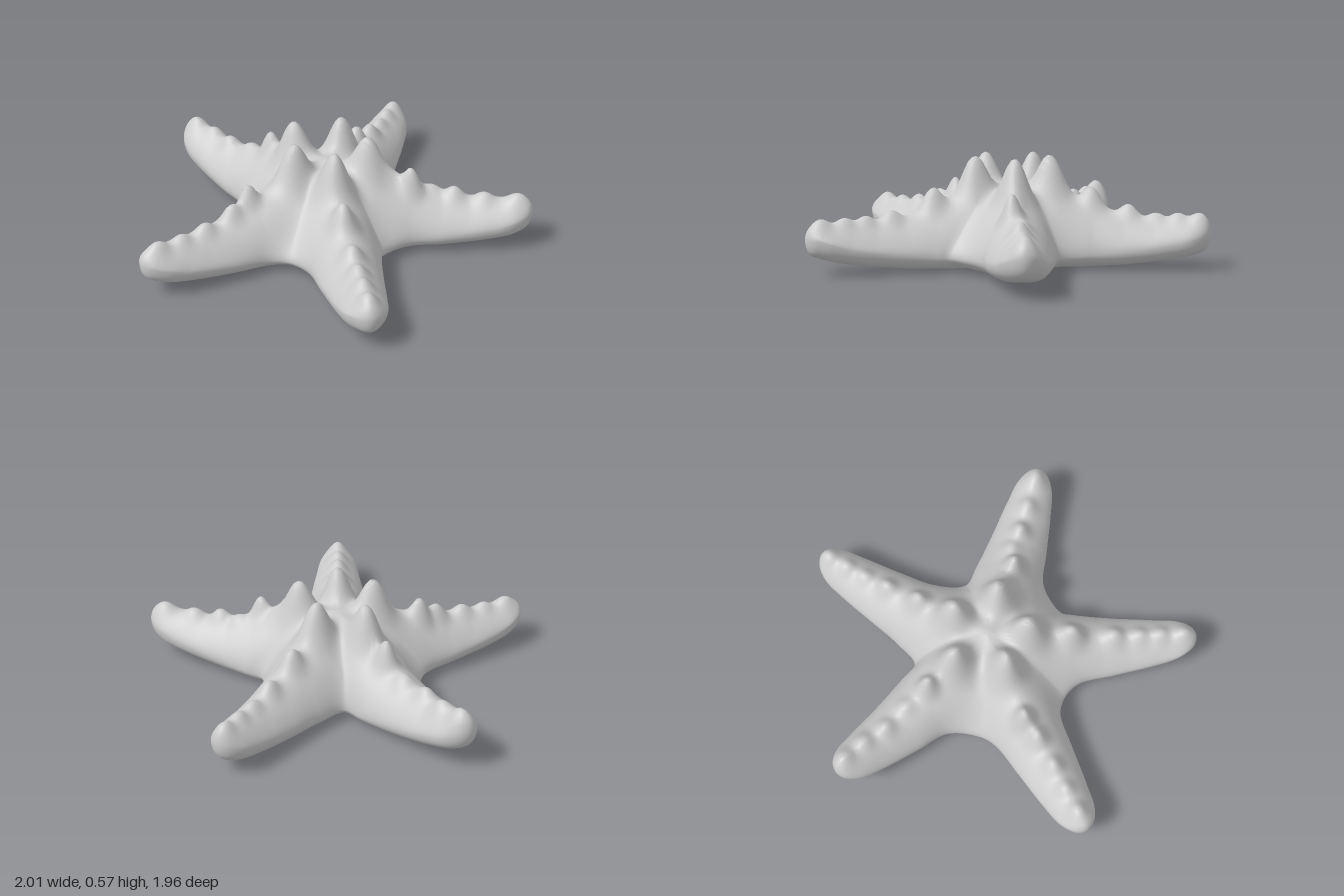
import * as THREE from 'three';
import { mergeVertices } from 'three/addons/utils/BufferGeometryUtils.js';

const CENTRE = new THREE.Vector2(-0.03, 0.05); // x, z of the middle of the disc

// Each arm: tip, the notch before it, extra lift at the tip, and knobs as
// [distance along arm, sideways offset, height, radius]
const ARMS = [
  { tip: [-0.02, -0.98], notch: [-0.27, -0.255], lift: 0.01,
    knobs: [[0.2, 0, 0.165, 0.078], [0.42, 0, 0.085, 0.055], [0.61, 0, 0.055, 0.05], [0.75, 0, 0.03, 0.045], [0.86, 0, 0.03, 0.045], [0.97, 0, 0.03, 0.05]] },
  { tip: [1, -0.215], notch: [0.25, -0.245], lift: 0.01,
    knobs: [[0.215, 0, 0.165, 0.078], [0.34, 0.01, 0.03, 0.05], [0.44, 0.03, 0.11, 0.048], [0.55, -0.02, 0.025, 0.045], [0.66, 0, 0.05, 0.048], [0.81, 0, 0.035, 0.05], [0.98, 0, 0.035, 0.055]] },
  { tip: [0.57, 0.972], notch: [0.37, 0.28], lift: 0,
    knobs: [[0.21, 0, 0.165, 0.078], [0.44, 0, 0.1, 0.06], [0.66, 0, 0.05, 0.055], [0.79, 0, 0.04, 0.05], [0.9, 0, 0.035, 0.05], [1.02, 0, 0.035, 0.05]] },
  { tip: [-0.625, 0.962], notch: [-0.035, 0.522], lift: 0,
    knobs: [[0.2, 0, 0.165, 0.078], [0.46, 0.03, 0.11, 0.05], [0.57, 0.01, 0.065, 0.05], [0.73, 0, 0.045, 0.05], [0.86, 0, 0.03, 0.045], [0.99, 0, 0.035, 0.05]] },
  { tip: [-1, -0.275], notch: [-0.44, 0.25], lift: 0.05,
    knobs: [[0.225, 0, 0.165, 0.078], [0.4, 0.01, 0.11, 0.05], [0.55, 0.02, 0.03, 0.05], [0.69, 0, 0.04, 0.048], [0.82, 0.02, 0.035, 0.05], [0.95, 0.02, 0.035, 0.055]] },
];

// Half width of an arm along its length, from root to tip
const WIDTHS = [[0.43, 0.19], [0.6, 0.158], [0.8, 0.125], [0.92, 0.096], [0.982, 0.05]];
// Matching stations on the spine, from the centre to just short of the tip
const SPINE = [0, 0.34, 0.58, 0.76, 0.87, 0.905, 0.915];

// Heights by distance from the centre
const CREST = [[-1, -0.6], [0, 0.395], [0.15, 0.41], [0.25, 0.39], [0.35, 0.345], [0.45, 0.305], [0.6, 0.265], [0.75, 0.245], [1, 0.245]];
const RIM = [[0, 0.07], [0.45, 0.075], [0.7, 0.1], [0.9, 0.13], [1.05, 0.18]];
const BELLY = [[0, 0], [0.4, 0.004], [0.6, 0.016], [0.8, 0.038], [0.95, 0.062], [1.05, 0.09]];

// Linear interpolation through [position, value] pairs
function sample(table, x) {
  for (let i = 1; i < table.length; i++) {
    if (x < table[i][0]) {
      const [x0, y0] = table[i - 1], [x1, y1] = table[i];
      return y0 + (y1 - y0) * (x - x0) / (x1 - x0);
    }
  }
  return table[table.length - 1][1];
}

function armFrames() {
  return ARMS.map(arm => {
    const dir = new THREE.Vector2(...arm.tip).sub(CENTRE);
    const length = dir.length();
    dir.normalize();
    const side = new THREE.Vector2(-dir.y, dir.x);
    const at = (a, w) => CENTRE.clone().addScaledVector(dir, a).addScaledVector(side, w);
    const knobs = arm.knobs.map(([a, w, h, r]) => ({ p: at(a, w), h, r }));
    return { ...arm, dir, side, length, at, knobs };
  });
}

// Closed plan outline: notch, one side, tip, other side, for each arm
function outlineCurve(frames) {
  const pts = [];
  const add = p => pts.push(new THREE.Vector3(p.x, 0, p.y));
  for (const f of frames) {
    add(new THREE.Vector2(...f.notch));
    WIDTHS.forEach(([s, w]) => add(f.at(s * f.length, -w)));
    add(f.at(f.length, 0));
    [...WIDTHS].reverse().forEach(([s, w]) => add(f.at(s * f.length, w)));
  }
  return new THREE.CatmullRomCurve3(pts, true, 'centripetal');
}

// Rounded ridges of all arms, blended softly where they meet
function ridgeHeight(frames, p) {
  const soft = 0.02, rel = p.clone().sub(CENTRE);
  let sum = 0;
  for (const f of frames) {
    const w = rel.dot(f.side);
    const h = sample(CREST, rel.dot(f.dir)) - 0.85 * (Math.hypot(w, 0.06) - 0.06);
    sum += Math.exp(h / soft);
  }
  return soft * Math.log(sum);
}

function bodyGeometry() {
  const frames = armFrames();
  const curve = outlineCurve(frames);
  const knobs = frames.flatMap(f => f.knobs);
  const STEPS = 15, COLS = 24, HALF = SPINE.length - 1;
  const rowsPerArm = 2 * HALF * STEPS, rows = rowsPerArm * frames.length;
  const position = [], index = [];
  const spineTable = SPINE.map((s, i) => [i, s]);

  for (const top of [true, false]) {
    const base = position.length / 3;
    for (let i = 0; i <= rows; i++) {
      const row = i % rows;
      const frame = frames[Math.floor(row / rowsPerArm)];
      const k = (row % rowsPerArm) / STEPS;
      const station = k <= HALF ? k : 2 * HALF - k; // 0 at notch, HALF at tip
      const spine = frame.at(sample(spineTable, station) * frame.length, 0);
      const e = curve.getPoint(row / rows);
      const edge = new THREE.Vector2(e.x, e.z);
      const rEdge = edge.distanceTo(CENTRE);
      const rim = sample(RIM, rEdge);

      for (let j = 0; j <= COLS; j++) {
        const f = Math.sin((j / COLS) * Math.PI / 2);
        const round = Math.sqrt(Math.max(0, 1 - f ** 4)); // rolls over at the rim
        const p = spine.clone().lerp(edge, f);
        const r = p.distanceTo(CENTRE);
        let y;
        if (top) {
          y = rim + (ridgeHeight(frames, p) - rim) * round;
          for (const b of knobs) {
            const d = p.distanceTo(b.p) / b.r;
            if (d < 3) y += b.h * Math.exp(-Math.pow(d, 2.3)) * Math.min(1, round * 1.5);
          }
        } else {
          y = rim - (rim - sample(BELLY, r)) * round;
        }
        y += frame.lift * rEdge ** 2 * THREE.MathUtils.smoothstep(r, 0.3, 1);
        position.push(p.x, y, p.y);
        if (i < rows && j < COLS) {
          const a = base + i * (COLS + 1) + j, b = a + 1, c = a + COLS + 1, d = c + 1;
          if (top) index.push(a, c, b, b, c, d);
          else index.push(a, b, c, b, d, c);
        }
      }
    }
  }

  let geo = new THREE.BufferGeometry();
  geo.setAttribute('position', new THREE.Float32BufferAttribute(position, 3));
  geo.setIndex(index);
  geo = mergeVertices(geo, 1e-4);
  geo.computeVertexNormals();
  return geo;
}

export function createModel() {
  const group = new THREE.Group();
  group.name = 'starfish';
  const body = new THREE.Mesh(bodyGeometry(), new THREE.MeshStandardMaterial({ color: 0xcccccc }));
  body.name = 'knobbedBody';
  group.add(body);
  return group;
}
